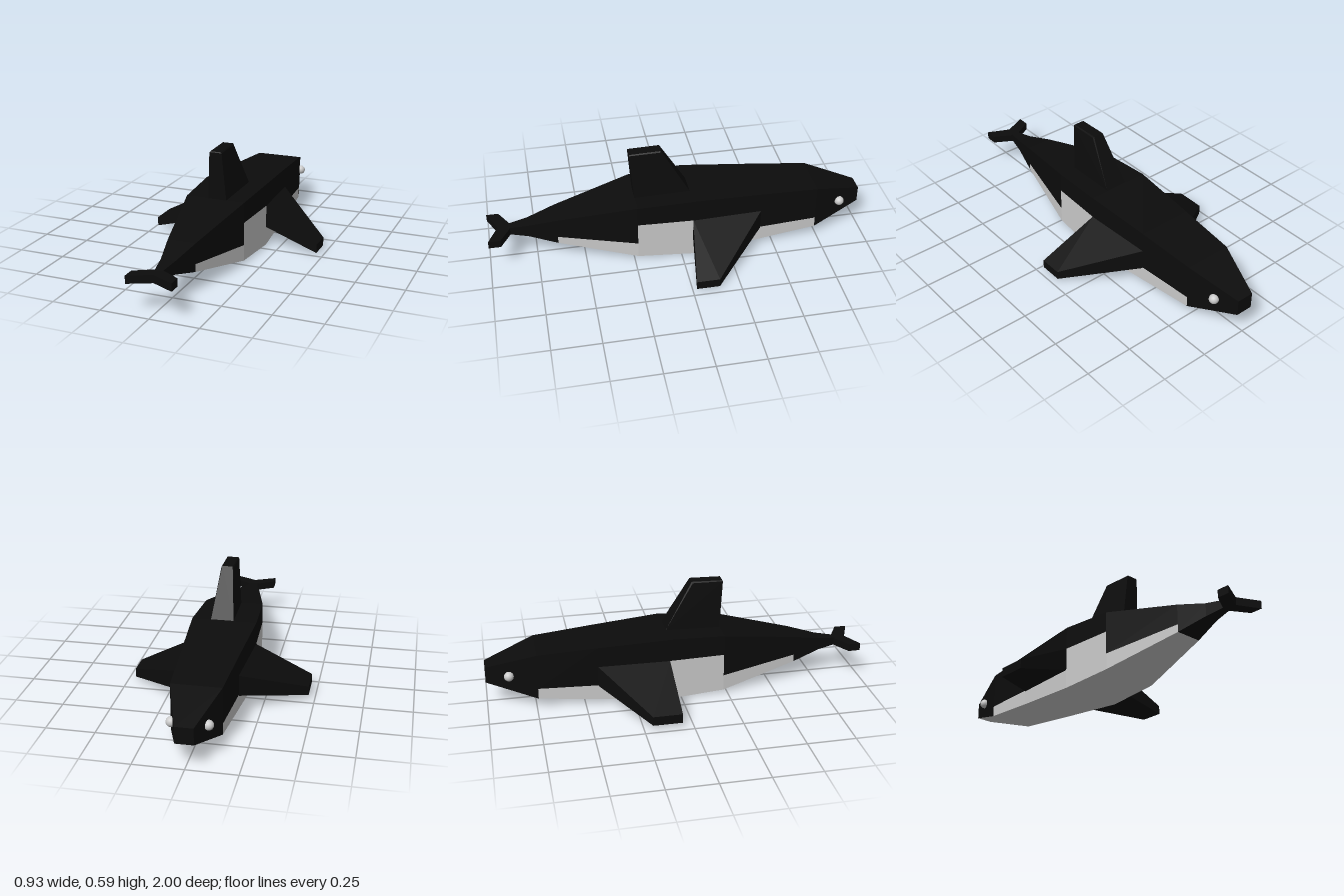
import * as THREE from 'three';
import { ConvexGeometry } from 'three/addons/geometries/ConvexGeometry.js';

const dark = new THREE.MeshStandardMaterial({ color: 0x0c0c0c, flatShading: true });
const pale = new THREE.MeshStandardMaterial({ color: 0xcccccc, flatShading: true });
const eyeMat = new THREE.MeshStandardMaterial({ color: 0xcccccc });

// Body stations, nose to tail: z, half width, bottom, top,
// then height of the pale flank on the segment that follows (start, end)
const stations = [
  { z: -1.00, w: 0.045, lo: 0.130, hi: 0.215 },
  { z: -0.74, w: 0.125, lo: 0.050, hi: 0.295, flank: [0.107, 0.105] },
  { z: -0.43, w: 0.145, lo: 0.025, hi: 0.317, flank: [0.105, 0.100] },
  { z: -0.06, w: 0.170, lo: 0.000, hi: 0.340, flank: [0.220, 0.220] },
  { z: 0.23, w: 0.157, lo: 0.015, hi: 0.327, flank: [0.100, 0.140] },
  { z: 0.64, w: 0.072, lo: 0.100, hi: 0.245 },
  { z: 0.79, w: 0.037, lo: 0.140, hi: 0.207 },
  { z: 0.89, w: 0.020, lo: 0.155, hi: 0.193 },
];

function quad(list, a, b, c, d) {
  for (const p of [a, b, c, a, c, d]) list.push(...p);
}

function meshFrom(list, material, name) {
  const g = new THREE.BufferGeometry();
  g.setAttribute('position', new THREE.Float32BufferAttribute(list, 3));
  g.computeVertexNormals();
  const m = new THREE.Mesh(g, material);
  m.name = name;
  return m;
}

// Flank strip between two stations, on the side given by s
function flankStrip(list, s, a, b, loA, loB, hiA, hiB) {
  const q = [
    [s * b.w, loB, b.z], [s * a.w, loA, a.z],
    [s * a.w, hiA, a.z], [s * b.w, hiB, b.z],
  ];
  quad(list, ...(s > 0 ? q : q.reverse()));
}

function buildBody() {
  const black = [], white = [];
  for (let i = 0; i < stations.length - 1; i++) {
    const a = stations[i], b = stations[i + 1];
    quad(black, [-b.w, b.hi, b.z], [b.w, b.hi, b.z], [a.w, a.hi, a.z], [-a.w, a.hi, a.z]);
    quad(i < 5 ? white : black,
      [-a.w, a.lo, a.z], [a.w, a.lo, a.z], [b.w, b.lo, b.z], [-b.w, b.lo, b.z]);
    for (const s of [1, -1]) {
      const [fa, fb] = a.flank ?? [a.lo, b.lo];
      if (a.flank) flankStrip(white, s, a, b, a.lo, b.lo, fa, fb);
      flankStrip(black, s, a, b, fa, fb, a.hi, b.hi);
    }
  }
  // Flat snout and tail end
  const n = stations[0], t = stations[stations.length - 1];
  quad(black, [n.w, n.lo, n.z], [-n.w, n.lo, n.z], [-n.w, n.hi, n.z], [n.w, n.hi, n.z]);
  quad(black, [-t.w, t.lo, t.z], [t.w, t.lo, t.z], [t.w, t.hi, t.z], [-t.w, t.hi, t.z]);
  return [meshFrom(black, dark, 'back'), meshFrom(white, pale, 'belly')];
}

function hull(points, name) {
  const m = new THREE.Mesh(new ConvexGeometry(points.map(p => new THREE.Vector3(...p))), dark);
  m.name = name;
  return m;
}

// Side fin tapering from the flank to a small end face
function flipper(s, tip, name) {
  const root = [[0.145, 0.10, -0.43], [0.145, 0.21, -0.43], [0.169, 0.10, -0.06], [0.169, 0.22, -0.06]];
  const end = [];
  for (const y of tip.y) for (const z of tip.z) end.push([tip.x, y, z]);
  return hull([...root, ...end].map(([x, y, z]) => [s * x, y, z]), name);
}

export function createModel() {
  const model = new THREE.Group();
  model.name = 'whale';
  model.add(...buildBody());

  // Flippers, held at slightly different angles
  model.add(flipper(1, { x: 0.465, y: [0.01, 0.055], z: [-0.14, -0.02] }, 'leftFlipper'));
  model.add(flipper(-1, { x: 0.468, y: [0.022, 0.07], z: [-0.205, -0.055] }, 'rightFlipper'));

  // Dorsal fin, a little off the centre line
  const fin = [];
  for (const s of [1, -1]) {
    const x = v => 0.011 + s * v;
    fin.push([x(0.06), 0.338, -0.06], [x(0.05), 0.32, 0.23],
      [x(0.033), 0.578, 0.25], [x(0.028), 0.583, 0.248],
      [x(0.033), 0.580, 0.09], [x(0.028), 0.587, 0.085]);
  }
  model.add(hull(fin, 'dorsalFin'));

  for (const s of [1, -1]) {
    const side = s > 0 ? 'left' : 'right';
    // Swept tail fluke
    const outline = [[0, 0.88], [0.02, 0.88], [0.116, 0.935], [0.116, 0.998], [0.02, 0.943], [0, 0.943]];
    const fluke = [];
    for (const y of [0.153, 0.193]) for (const [x, z] of outline) fluke.push([s * x, y, z]);
    model.add(hull(fluke, side + 'Fluke'));

    const eye = new THREE.Mesh(new THREE.SphereGeometry(0.025, 20, 14), eyeMat);
    eye.position.set(s * 0.088, 0.174, -0.882);
    eye.name = side + 'Eye';
    model.add(eye);
  }
  return model;
}
